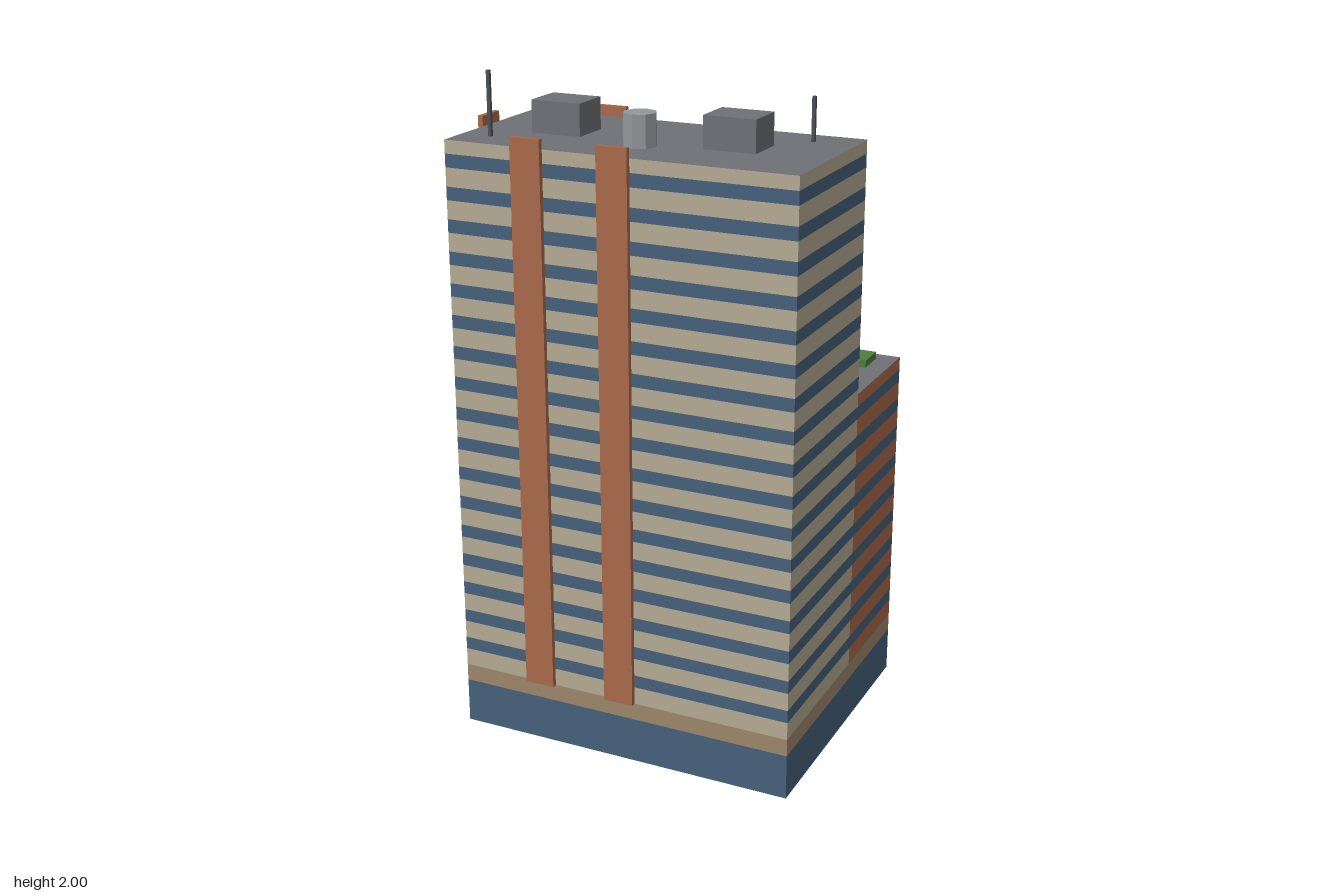
import * as THREE from 'three';
import { mergeGeometries } from 'three/addons/utils/BufferGeometryUtils.js';

const material = (name, color, side = THREE.FrontSide) => {
  const m = new THREE.MeshStandardMaterial({ color, side });
  m.name = name;
  return m;
};

// Upright wall strip along a line of [x, z] points, from y0 to y1
function strip(points, y0, y1) {
  const pos = [];
  for (let i = 0; i < points.length - 1; i++) {
    const [ax, az] = points[i], [bx, bz] = points[i + 1];
    pos.push(ax, y0, az, bx, y0, bz, bx, y1, bz, ax, y0, az, bx, y1, bz, ax, y1, az);
  }
  const g = new THREE.BufferGeometry();
  g.setAttribute('position', new THREE.Float32BufferAttribute(pos, 3));
  g.computeVertexNormals();
  return g;
}

export function createModel() {
  const model = new THREE.Group();
  model.name = 'officeTower';

  const glass = material('blueGlass', 0x46607a, THREE.DoubleSide);
  const cream = material('creamWall', 0xb4aa93, THREE.DoubleSide);
  const tan = material('tanBand', 0x9c866a, THREE.DoubleSide);
  const brick = material('brickOrange', 0xa8694a, THREE.DoubleSide);
  const roofGray = material('roofGray', 0x6e7076, THREE.DoubleSide);
  const metal = material('lightMetal', 0x92979b);
  const dark = material('darkMetal', 0x4c5056);
  const green = material('plantGreen', 0x4e7c3e);

  const add = (name, geometry, mat) => {
    const mesh = new THREE.Mesh(geometry, mat);
    mesh.name = name;
    model.add(mesh);
    return mesh;
  };
  const box = (name, mat, x0, x1, y0, y1, z0, z1) =>
    add(name, new THREE.BoxGeometry(x1 - x0, y1 - y0, z1 - z0), mat)
      .position.set((x0 + x1) / 2, (y0 + y1) / 2, (z0 + z1) / 2);

  const L = -0.521, R = 0.535, F = 0.428, B = -0.072;   // tower footprint
  const wingL = 0.163, wingB = -0.445;                  // rear wing footprint
  const podium = 0.138, start = 0.191;                  // glass base, tan band top
  const pitch = 0.0933, wallH = 0.0545, parapet = 0.039;

  // Striped storeys over a glass base, with a flat roof and an open underside
  function block(name, outline, floors, wallMat, x0, x1, z0, z1) {
    const walls = [], windows = [strip(outline, 0, podium)];
    for (let i = 0; i < floors; i++) {
      const y = start + i * pitch;
      walls.push(strip(outline, y, y + wallH));
      windows.push(strip(outline, y + wallH, y + pitch));
    }
    const sill = start + floors * pitch, top = sill + parapet;
    walls.push(strip(outline, sill, top));
    add(name + 'Walls', mergeGeometries(walls), wallMat);
    add(name + 'Windows', mergeGeometries(windows), glass);
    add(name + 'Band', strip(outline, podium, start), tan);
    const roof = new THREE.PlaneGeometry(x1 - x0, z1 - z0).rotateX(-Math.PI / 2);
    add(name + 'Roof', roof, roofGray).position.set((x0 + x1) / 2, top, (z0 + z1) / 2);
    return top;
  }
  const top = block('tower', [[L, F], [R, F], [R, B], [L, B], [L, F]], 17, cream, L, R, B, F);
  const wingTop = block('wing', [[R, B], [R, wingB], [wingL, wingB], [wingL, B]], 9, brick,
    wingL, R, wingB, B);

  // Brick pilasters on the front, back and one side
  const gap = 0.0005, out = 0.016, pTop = 1.846;
  box('frontPilaster', brick, -0.304, -0.212, start, pTop, F + gap, F + out);
  box('frontPilaster', brick, -0.041, 0.052, start, pTop, F + gap, F + out);
  box('backPilaster', brick, -0.304, -0.212, start, pTop, B - out, B - gap);
  box('sidePilaster', brick, L - out, L - gap, start, pTop, 0.13, 0.222);

  // Tower roof: plant rooms, water tank and masts
  box('plantRoom', roofGray, -0.35, -0.198, top, 1.909, 0.113, 0.238);
  box('plantRoom', roofGray, 0.178, 0.333, top, 1.909, 0.113, 0.238);
  const tank = new THREE.CylinderGeometry(0.048, 0.048, 1.909 - top, 8).toNonIndexed();
  tank.computeVertexNormals();
  add('waterTank', tank, metal).position.set(0.005, (1.909 + top) / 2, 0.27);
  for (const [x, z, y] of [[-0.43, 0.332, 2], [0.412, 0.02, 1.942]])
    box('mast', dark, x - 0.005, x + 0.005, top, y, z - 0.005, z + 0.005);

  // Wing roof: planted bed and cooling units
  box('roofGarden', green, 0.224, 0.473, wingTop, 1.092, -0.4, -0.307);
  for (let i = 0; i < 3; i++) {
    const x = 0.224 + i * 0.0933;
    box('coolingUnit', metal, x, x + 0.063, wingTop, 1.104, -0.223, -0.174);
  }
  return model;
}
